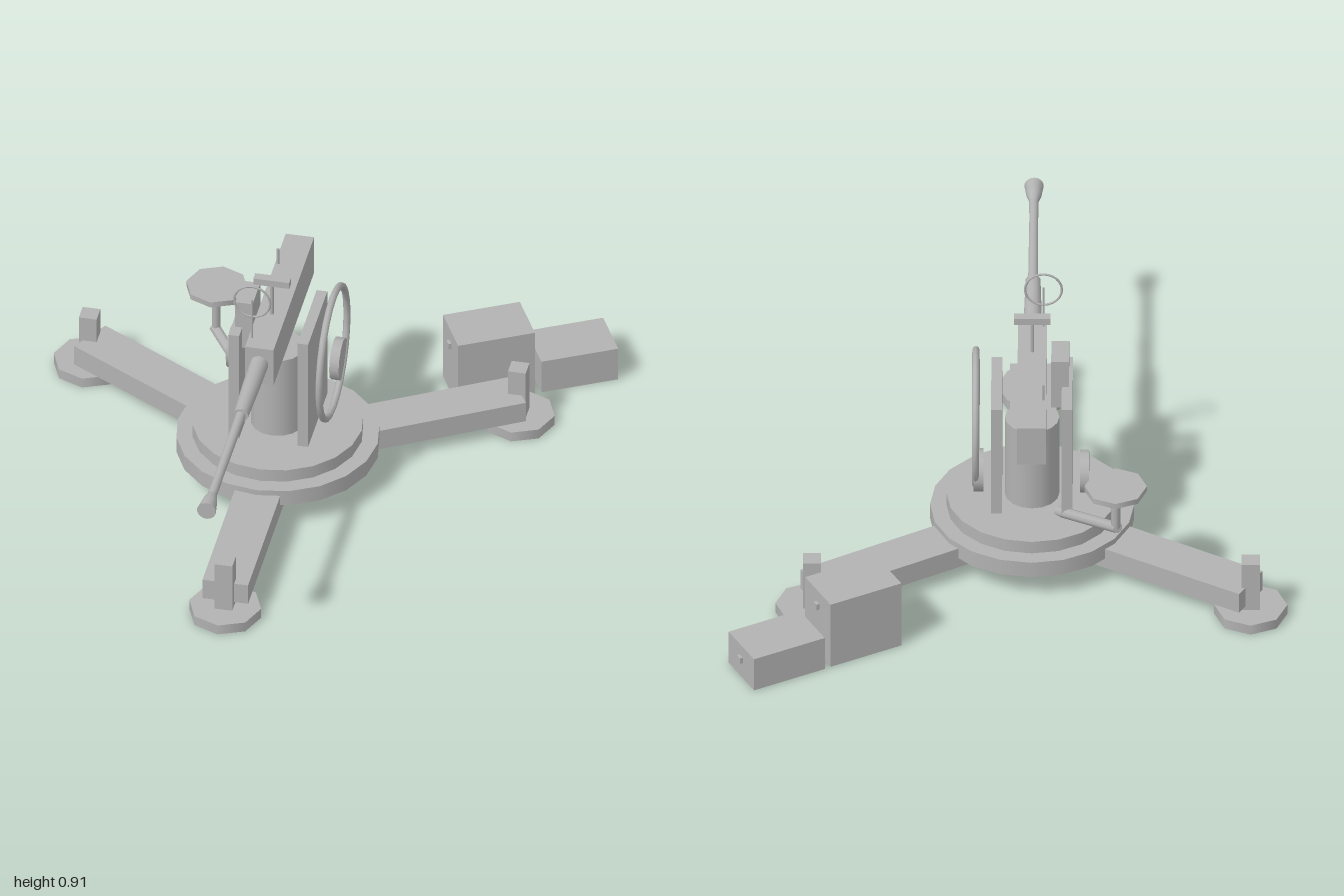
import * as THREE from 'three';

// Centre of the gun mount
const CX = -0.077, CZ = -0.135;

export function createModel() {
  const root = new THREE.Group();
  const steel = new THREE.MeshStandardMaterial({ color: 0xb2b2b2 });
  steel.name = 'grey steel';

  const add = (name, geometry, x, y, z, parent = root) => {
    const mesh = new THREE.Mesh(geometry, steel);
    mesh.name = name;
    mesh.position.set(x, y, z);
    parent.add(mesh);
    return mesh;
  };
  // Box given by its extents
  const box = (name, x0, x1, y0, y1, z0, z1, parent) =>
    add(name, new THREE.BoxGeometry(x1 - x0, y1 - y0, z1 - z0),
      (x0 + x1) / 2, (y0 + y1) / 2, (z0 + z1) / 2, parent);
  // Upright disc or post between two heights
  const disc = (name, r, y0, y1, x, z, sides) =>
    add(name, new THREE.CylinderGeometry(r, r, y1 - y0, sides), x, (y0 + y1) / 2, z);
  // Round bar between two points
  const bar = (name, a, b, r, sides = 8) => {
    const from = new THREE.Vector3(...a), to = new THREE.Vector3(...b);
    const dir = to.clone().sub(from);
    const mid = from.clone().add(to).multiplyScalar(0.5);
    const mesh = add(name, new THREE.CylinderGeometry(r, r, dir.length(), sides), mid.x, mid.y, mid.z);
    mesh.quaternion.setFromUnitVectors(new THREE.Vector3(0, 1, 0), dir.normalize());
    return mesh;
  };

  // Three outrigger legs with pads and jack posts
  const reach = 0.836;
  for (let i = 0; i < 3; i++) {
    const a = (i * Math.PI * 2) / 3;
    const leg = new THREE.Group();
    leg.name = 'outrigger';
    leg.position.set(CX, 0, CZ);
    leg.rotation.y = a;
    root.add(leg);
    box('outriggerBeam', -0.077, 0.077, 0.05, 0.125, 0, reach, leg);
    const x = CX + Math.sin(a) * reach, z = CZ + Math.cos(a) * reach;
    disc('footPad', 0.121, 0, 0.036, x, z, 8);
    box('jackPost', x - 0.03, x + 0.03, 0.03, 0.217, z - 0.03, z + 0.03);
  }

  // Turntable and pedestal
  disc('baseRing', 0.337, 0.087, 0.145, CX, CZ, 20);
  disc('turntable', 0.283, 0.145, 0.191, CX, CZ, 20);
  disc('pedestal', 0.09, 0.19, 0.497, CX, CZ, 16);

  // Cradle side plates and sight housing
  box('rightCradlePlate', -0.211, -0.175, 0.212, 0.63, -0.285, 0.02);
  box('leftCradlePlate', 0.022, 0.058, 0.212, 0.63, -0.285, 0.02);
  box('sightHousing', -0.199, -0.14, 0.547, 0.73, -0.152, -0.03);

  // Receiver and barrel with flared muzzle
  box('receiver', -0.125, -0.029, 0.55, 0.695, -0.485, 0.16);
  const profile = [[0, 0.15], [0.031, 0.15], [0.029, 0.30], [0.025, 0.455], [0.017, 0.455],
    [0.015, 0.8], [0.016, 0.91], [0.025, 0.945], [0.032, 1.0], [0, 1.0]];
  // Each stretch gets its own lathe so the shoulders stay sharp
  const barrel = new THREE.Group();
  barrel.name = 'barrel';
  barrel.position.set(CX, 0.633, 0);
  barrel.rotation.x = Math.PI / 2;
  root.add(barrel);
  for (let i = 0; i < profile.length - 1; i++) {
    const pts = [profile[i], profile[i + 1]].map(p => new THREE.Vector2(...p));
    add('barrelSection', new THREE.LatheGeometry(pts, 14), 0, 0, 0, barrel);
  }

  // Sights on top of the receiver
  bar('ringSightStem', [-0.113, 0.69, 0.105], [-0.113, 0.85, 0.105], 0.004, 6);
  add('ringSight', new THREE.TorusGeometry(0.061, 0.004, 6, 24), -0.113, 0.842, 0.105);
  bar('rearSightStem', [CX, 0.69, -0.04], [CX, 0.82, -0.04], 0.007, 6);
  box('rearSightBar', -0.137, -0.016, 0.814, 0.838, -0.058, -0.027);
  bar('rearPin', [-0.115, 0.69, -0.318], [-0.115, 0.755, -0.318], 0.005, 6);

  // Large training ring and the two small handwheels
  const ring = add('trainingRing', new THREE.TorusGeometry(0.223, 0.012, 8, 24), 0.109, 0.496, -0.135);
  ring.rotation.y = Math.PI / 2;
  bar('leftHandwheel', [0.083, 0.375, -0.267], [0.115, 0.375, -0.267], 0.072, 12);
  bar('rightHandwheel', [-0.266, 0.372, -0.267], [-0.236, 0.372, -0.267], 0.072, 12);

  // Gunner's seat on its bent support
  disc('seat', 0.103, 0.438, 0.458, -0.355, -0.476, 8);
  bar('seatPost', [-0.355, 0.285, -0.465], [-0.355, 0.44, -0.465], 0.015);
  bar('seatArm', [-0.362, 0.287, -0.472], [-0.165, 0.195, -0.245], 0.019);

  // Ammunition boxes with end latches
  for (const [x, z, h, latch] of [[0.51, -0.725, 0.25, 0.193], [0.762, -0.862, 0.125, 0.072]]) {
    const crate = new THREE.Group();
    crate.name = 'ammunitionBox';
    crate.position.set(x, 0, z);
    crate.rotation.y = 0.49;
    root.add(crate);
    box('boxBody', -0.132, 0.132, 0, h, -0.09, 0.09, crate);
    for (const s of [-1, 1])
      add('boxLatch', new THREE.BoxGeometry(0.014, 0.022, 0.022), s * 0.136, latch, 0, crate);
  }
  return root;
}
